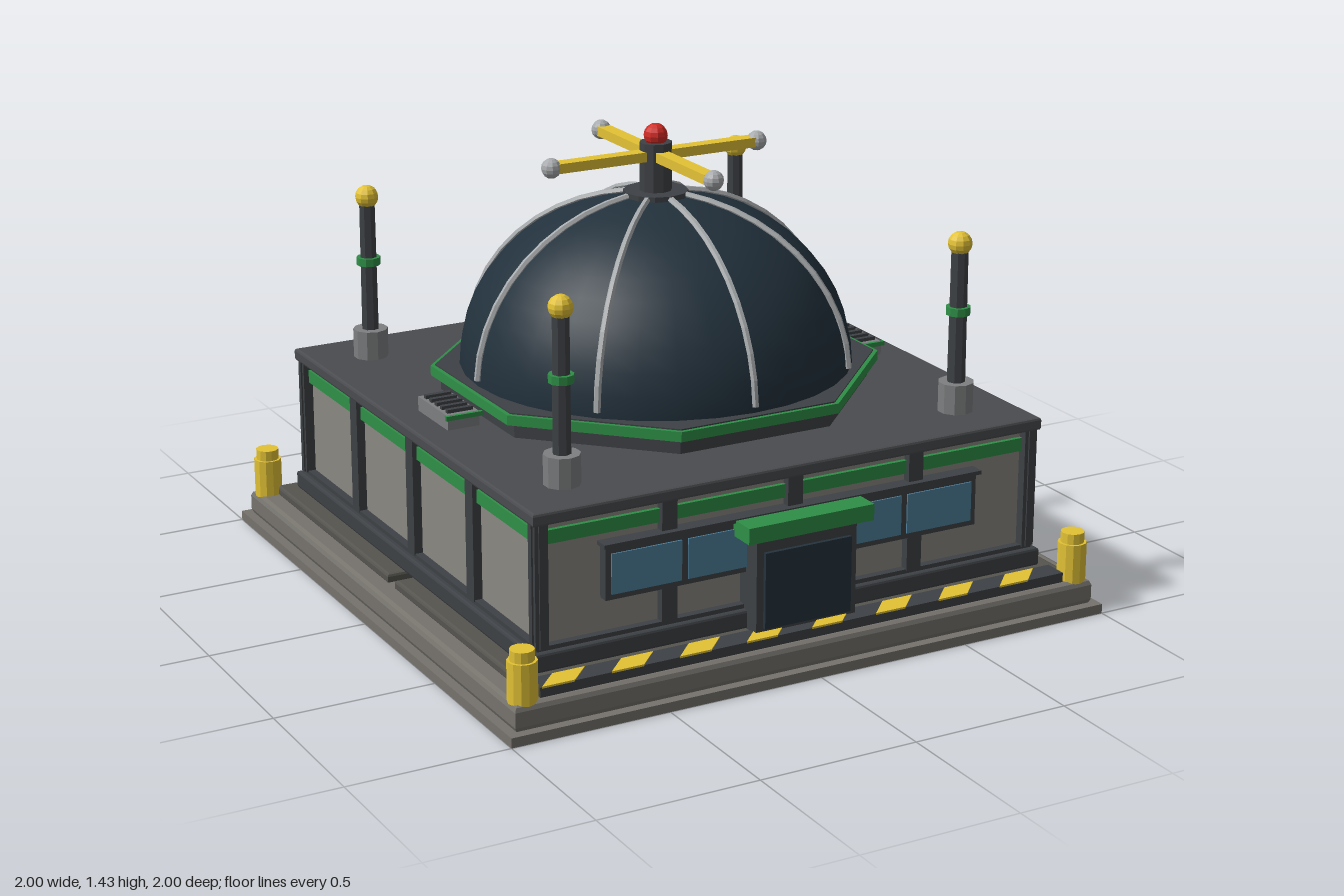
import * as THREE from 'three';

const mat = (color, flat = true) => new THREE.MeshStandardMaterial({ color, flatShading: flat });
const M = {
  wall: mat(0x8a8882), base: mat(0x76736d), dark: mat(0x3e4145), plate: mat(0x55544f), roof: mat(0x4a4c4f),
  green: mat(0x2f8f47), yellow: mat(0xe3c235), glass: mat(0x4f809c), dome: mat(0x22313c, false),
  door: mat(0x25323c), red: mat(0xd02a24), silver: mat(0xa8abad), concrete: mat(0x7d7f80),
};

export function createModel() {
  const root = new THREE.Group();

  const add = (name, geo, material, x = 0, y = 0, z = 0, parent = root) => {
    const m = new THREE.Mesh(geo, material);
    m.name = name;
    m.position.set(x, y, z);
    parent.add(m);
    return m;
  };
  // box given by its ranges
  const box = (name, material, x0, x1, y0, y1, z0, z1, parent) =>
    add(name, new THREE.BoxGeometry(x1 - x0, y1 - y0, z1 - z0), material,
      (x0 + x1) / 2, (y0 + y1) / 2, (z0 + z1) / 2, parent);
  // upright cylinder given by its height range
  const cyl = (name, material, r0, r1, y0, y1, sides, x = 0, z = 0, parent) =>
    add(name, new THREE.CylinderGeometry(r1, r0, y1 - y0, sides), material, x, (y0 + y1) / 2, z, parent);
  // square-plan slab with bevelled top and bottom edges
  const slab = (name, material, x0, x1, y0, y1, z0, z1, b) => {
    const s = new THREE.Shape([[x0 + b, -z1 + b], [x1 - b, -z1 + b], [x1 - b, -z0 - b], [x0 + b, -z0 - b]]
      .map(p => new THREE.Vector2(...p)));
    const g = new THREE.ExtrudeGeometry(s, {
      depth: y1 - y0 - 2 * b, bevelEnabled: true, bevelSize: b, bevelThickness: b, bevelSegments: 2 });
    g.rotateX(-Math.PI / 2).translate(0, y0 + b, 0);
    return add(name, g, material);
  };

  // foundation
  box('foundationPlate', M.base, -1, 1, 0, 0.03, -1, 1);
  slab('foundationSlab', M.base, -0.975, 0.975, 0.025, 0.107, -0.975, 0.975, 0.018);
  for (const sx of [-1, 1]) for (const sz of [-1, 1]) {
    const [xa, xb] = sx > 0 ? [0.025, 0.91] : [-0.91, -0.025];
    const [za, zb] = sz > 0 ? [0.025, 0.91] : [-0.91, -0.025];
    slab('pavingPlate', M.plate, xa, xb, 0.1, 0.134, za, zb, 0.009);
  }

  // hazard strip along the front
  box('hazardStrip', M.dark, -0.885, 0.885, 0.1, 0.137, 0.875, 0.95);
  const stripe = new THREE.Shape([[-0.085, -0.95], [0.018, -0.95], [0.085, -0.88], [-0.018, -0.88]]
    .map(p => new THREE.Vector2(...p)));
  const stripeGeo = new THREE.ExtrudeGeometry(stripe, { depth: 0.006, bevelEnabled: false });
  stripeGeo.rotateX(-Math.PI / 2);
  for (let i = 0; i < 8; i++) add('hazardStripe', stripeGeo, M.yellow, -0.795 + 0.219 * i, 0.134, 0.001);

  // building body
  box('walls', M.wall, -0.815, 0.815, 0.13, 0.58, -0.815, 0.815);
  slab('wallFooting', M.dark, -0.858, 0.858, 0.134, 0.192, -0.858, 0.858, 0.008);
  box('footingStep', M.dark, -0.84, 0.84, 0.19, 0.205, -0.84, 0.84);
  slab('roof', M.roof, -0.853, 0.853, 0.57, 0.61, -0.853, 0.853, 0.008);

  // wall trim repeated on the four sides
  for (let i = 0; i < 4; i++) {
    const side = new THREE.Group();
    side.name = 'wallTrim';
    side.rotation.y = i * Math.PI / 2;
    root.add(side);
    box('greenBand', M.green, -0.81, 0.81, 0.505, 0.546, 0.81, 0.828, side);
    for (const x of [-0.415, 0, 0.415]) box('wallPost', M.dark, x - 0.025, x + 0.025, 0.2, 0.575, 0.81, 0.842, side);
    box('cornerPost', M.dark, 0.803, 0.845, 0.2, 0.575, 0.803, 0.845, side);
    for (const [dx, dz] of [[0.01, 0.845], [0.845, 0.01]])
      box('cornerRib', M.dark, 0.803 + (dx < 0.1 ? 0.012 : 0.03), dx < 0.1 ? 0.833 : 0.85,
        0.2, 0.575, dx < 0.1 ? 0.83 : 0.815, dx < 0.1 ? 0.85 : 0.833, side);
  }

  // window rows on the front and on the +x side
  const windowRow = (name, count, pitch, half, angle) => {
    const g = new THREE.Group();
    g.name = name;
    g.rotation.y = angle;
    root.add(g);
    box('windowFrame', M.dark, -half, half, 0.308, 0.472, 0.81, 0.848, g);
    box('windowHood', M.dark, -half - 0.01, half + 0.01, 0.47, 0.482, 0.81, 0.862, g);
    for (let i = 0; i < count; i++) {
      const x = (i - (count - 1) / 2) * pitch;
      box('windowPane', M.glass, x - 0.113, x + 0.113, 0.325, 0.448, 0.84, 0.853, g);
    }
  };
  windowRow('frontWindows', 5, 0.247, 0.625, 0);
  windowRow('sideWindows', 4, 0.253, 0.522, Math.PI / 2);

  // entrance
  box('doorFrame', M.dark, -0.168, 0.168, 0.134, 0.42, 0.81, 0.91);
  box('door', M.door, -0.145, 0.145, 0.15, 0.385, 0.9, 0.922);
  box('canopy', M.green, -0.21, 0.21, 0.428, 0.478, 0.81, 0.937);

  // octagonal dome plinth
  const oct = Math.PI / 8;
  cyl('plinth', M.dark, 0.665, 0.665, 0.605, 0.66, 8).rotation.y = oct;
  cyl('plinthRim', M.green, 0.696, 0.696, 0.657, 0.688, 8).rotation.y = oct;
  cyl('plinthTop', M.dark, 0.682, 0.682, 0.66, 0.692, 8).rotation.y = oct;

  // dome with eight ribs
  const R = 0.607, H = 0.53, Y = 0.69;
  const domeGeo = new THREE.SphereGeometry(1, 32, 12, 0, Math.PI * 2, 0, Math.PI / 2);
  add('dome', domeGeo.scale(R, H, R), M.dome, 0, Y, 0);
  const ribPoints = [];
  for (let i = 0; i <= 8; i++) {
    const t = 0.04 + i / 8 * 1.38;
    ribPoints.push(new THREE.Vector3(Math.cos(t) * (R + 0.004), Math.sin(t) * (H + 0.004), 0));
  }
  const ribGeo = new THREE.TubeGeometry(new THREE.CatmullRomCurve3(ribPoints), 10, 0.011, 6);
  for (let i = 0; i < 8; i++) add('domeRib', ribGeo, M.silver, 0, Y, 0).rotation.y = i * Math.PI / 4;

  // hub with four arms on top of the dome
  cyl('domeCap', M.dark, 0.1, 0.1, 1.2, 1.228, 12);
  cyl('hub', M.dark, 0.05, 0.05, 1.225, 1.378, 10);
  add('beacon', new THREE.SphereGeometry(0.037, 10, 8), M.red, 0, 1.398, 0);
  for (let i = 0; i < 4; i++) {
    const arm = new THREE.Group();
    arm.name = 'arm';
    arm.rotation.y = i * Math.PI / 2;
    root.add(arm);
    box('armBar', M.yellow, 0.03, 0.34, 1.323, 1.353, -0.022, 0.022, arm);
    add('armTip', new THREE.SphereGeometry(0.031, 10, 8), M.silver, 0.355, 1.338, 0, arm);
  }

  // antennas on the roof and bollards on the foundation
  for (const sx of [-1, 1]) for (const sz of [-1, 1]) {
    const x = sx * 0.667, z = sz * 0.667;
    cyl('antennaBase', M.concrete, 0.055, 0.055, 0.605, 0.702, 10, x, z);
    cyl('antennaPole', M.dark, 0.028, 0.026, 0.7, 1.11, 8, x, z);
    cyl('antennaRing', M.green, 0.038, 0.038, 0.913, 0.938, 10, x, z);
    add('antennaBall', new THREE.SphereGeometry(0.037, 10, 8), M.yellow, x, 1.133, z);
    cyl('bollard', M.yellow, 0.044, 0.044, 0.1, 0.225, 12, sx * 0.93, sz * 0.93);
    cyl('bollardTop', M.yellow, 0.036, 0.036, 0.22, 0.258, 12, sx * 0.93, sz * 0.93);
  }

  // roof vents beside the dome
  for (const s of [-1, 1]) {
    const vent = new THREE.Group();
    vent.name = 'roofVent';
    vent.position.x = s * 0.708;
    root.add(vent);
    box('ventBox', M.concrete, -0.052, 0.052, 0.605, 0.655, -0.105, 0.105, vent);
    for (let i = 0; i < 5; i++) {
      const z = -0.076 + i * 0.038;
      box('ventSlat', M.dark, -0.042, 0.042, 0.65, 0.666, z - 0.008, z + 0.008, vent);
    }
    box('ventEdge', M.green, -0.06, 0.06, 0.642, 0.656, 0.102, 0.113, vent);
  }
  return root;
}
